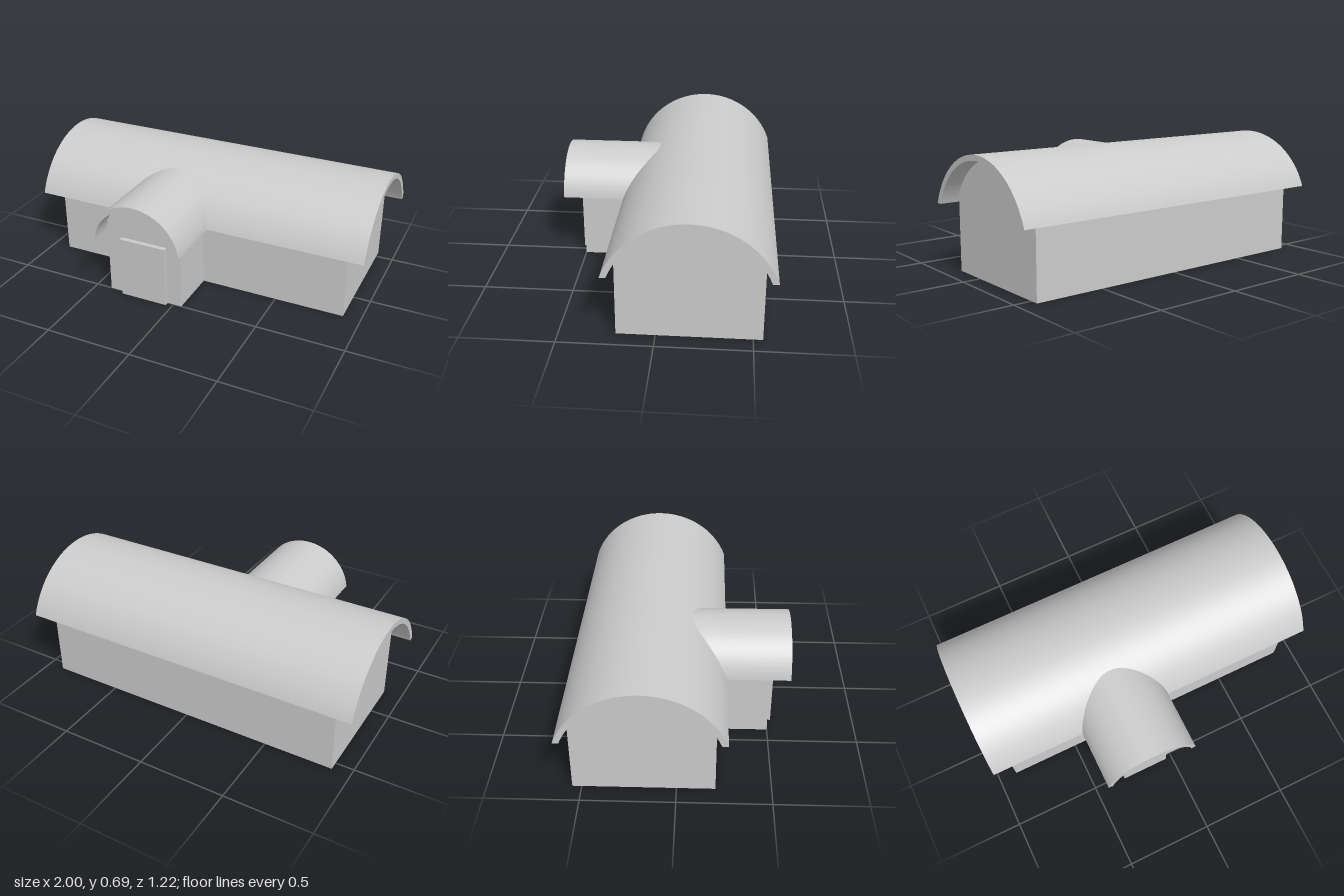
import * as THREE from 'three';
import { toCreasedNormals } from 'three/addons/utils/BufferGeometryUtils.js';

const material = new THREE.MeshStandardMaterial({ color: 0xcccccc });

function mesh(name, geometry) {
  const m = new THREE.Mesh(geometry, material);
  m.name = name;
  return m;
}

// Box given by its minimum and maximum corners
function box(name, [x0, y0, z0], [x1, y1, z1]) {
  const g = new THREE.BoxGeometry(x1 - x0, y1 - y0, z1 - z0);
  g.translate((x0 + x1) / 2, (y0 + y1) / 2, (z0 + z1) / 2);
  return mesh(name, g);
}

// Extrude a profile along z, from `from` to `to`, keeping its edges sharp
function extrude(shape, from, to) {
  const g = new THREE.ExtrudeGeometry(shape, { depth: to - from, bevelEnabled: false, curveSegments: 48 });
  g.translate(0, 0, from);
  return toCreasedNormals(g, 0.4);
}

// Curved shell between two concentric arcs, cut off level at the eaves
function shellShape(cy, outer, inner, eave) {
  const a = Math.asin((eave - cy) / outer);
  const b = Math.asin((eave - cy) / inner);
  const s = new THREE.Shape();
  s.absarc(0, cy, outer, a, Math.PI - a, false);
  s.absarc(0, cy, inner, Math.PI - b, b, true);
  s.closePath();
  return s;
}

// Wall profile with straight sides down to `bottom` and an arched top
function archShape(cy, radius, halfWidth, bottom) {
  const a = Math.acos(halfWidth / radius);
  const s = new THREE.Shape();
  s.moveTo(-halfWidth, bottom);
  s.lineTo(halfWidth, bottom);
  s.absarc(0, cy, radius, a, Math.PI - a, false);
  s.closePath();
  return s;
}

export function createModel() {
  const group = new THREE.Group();
  group.name = 'barrelRoofBuilding';

  // Main hall: box walls, arched gable infill and barrel roof along x
  const hallZ = -0.173, hallY = 0.227;
  group.add(box('hallWalls', [-0.895, 0, -0.55], [0.9, 0.432, 0.205]));
  const gable = mesh('hallGable', extrude(archShape(hallY, 0.432, 0.3775, 0.432), -0.895, 0.9));
  const roof = mesh('hallRoof', extrude(shellShape(hallY, 0.463, 0.432, 0.385), -1, 1));
  for (const part of [gable, roof]) {
    part.rotation.y = Math.PI / 2;
    part.position.z = hallZ;
    group.add(part);
  }

  // Entrance porch: arched block and a smaller barrel roof along z
  const porchX = -0.178, porchY = 0.35;
  const porch = mesh('porchWalls', extrude(archShape(porchY, 0.247, 0.227, 0), 0, 0.5));
  const porchRoof = mesh('porchRoof', extrude(shellShape(porchY, 0.275, 0.247, 0.385), 0, 0.61));
  for (const part of [porch, porchRoof]) {
    part.position.x = porchX;
    group.add(part);
  }

  // Door in three stacked sections
  const door = new THREE.Group();
  door.name = 'door';
  for (let i = 0; i < 3; i++) {
    door.add(box('doorSection', [-0.317, i * 0.12, 0.5], [-0.037, (i + 1) * 0.12, 0.525]));
  }
  group.add(door);

  return group;
}
